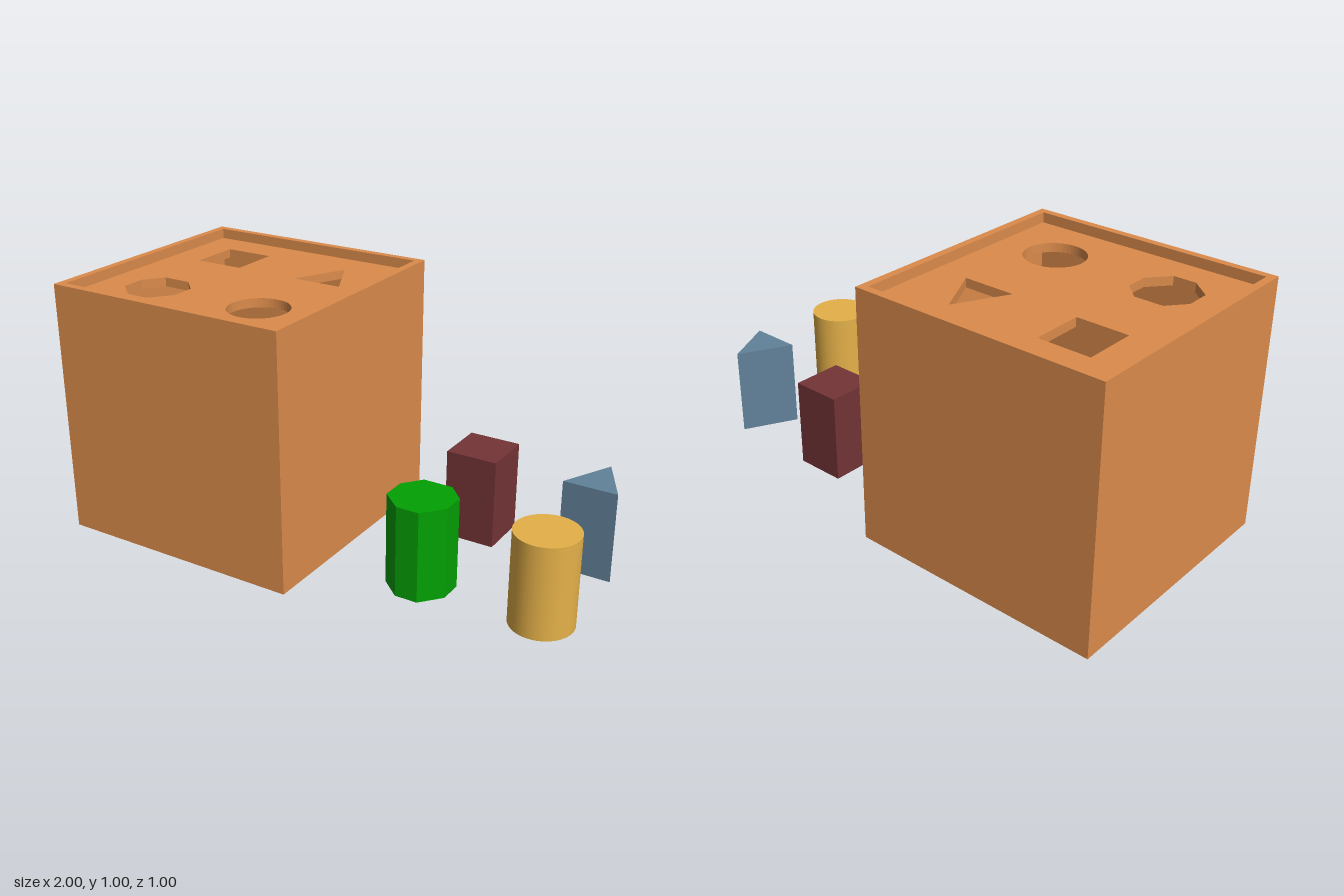
import * as THREE from 'three';

// Outlines are [x, z] points around each shape's own centre, clockwise seen from above
const SQUARE = [[-0.101, -0.101], [0.101, -0.101], [0.101, 0.101], [-0.101, 0.101]];
const TRIANGLE = [[0, -0.102], [0.103, 0.102], [-0.103, 0.102]];
const OCTAGON = [[-0.06, -0.117], [0.053, -0.117], [0.116, -0.053], [0.116, 0.038],
  [0.048, 0.118], [-0.04, 0.118], [-0.118, 0.05], [-0.118, -0.045]];
const RADIUS = 0.117;
const CIRCLE = Array.from({ length: 48 }, (_, i) => {
  const a = (i / 48) * Math.PI * 2;
  return [RADIUS * Math.cos(a), RADIUS * Math.sin(a)];
});

const points = (outline, cx, cz) => outline.map(([x, z]) => new THREE.Vector2(x + cx, -(z + cz)));
const rect = (h) => [[-h, -h], [h, -h], [h, h], [-h, h]];

// Upright prism from a plan outline, with optional hole outlines;
// the outer outline runs counter-clockwise and the holes clockwise
function prism(outline, holes, height) {
  const shape = new THREE.Shape([...outline].reverse());
  shape.holes = holes.map((h) => new THREE.Path(h));
  const geo = new THREE.ExtrudeGeometry(shape, { depth: height, bevelEnabled: false });
  return geo.rotateX(-Math.PI / 2);
}

export function createModel() {
  const group = new THREE.Group();
  const mat = (name, color) => {
    const m = new THREE.MeshStandardMaterial({ color });
    m.name = name;
    return m;
  };
  const wood = mat('brown wood', 0xdc8c4c);
  const red = mat('dark red', 0x743436);
  const blue = mat('slate blue', 0x628299);
  const green = mat('green', 0x02a002);
  const gold = mat('gold', 0xe5b149);

  const add = (parent, name, geo, material, y) => {
    const mesh = new THREE.Mesh(geo, material);
    mesh.name = name;
    mesh.position.y = y;
    parent.add(mesh);
    return mesh;
  };

  // Each sorting shape: position of its hole in the lid and of its loose block
  const sorts = [
    { name: 'squareBlock', outline: SQUARE, z: -0.239, hole: -0.735, block: 0.414, material: red },
    { name: 'triangleBlock', outline: TRIANGLE, z: -0.235, hole: -0.266, block: 0.884, material: blue },
    { name: 'octagonBlock', outline: OCTAGON, z: 0.235, hole: -0.735, block: 0.416, material: green },
    { name: 'roundBlock', outline: CIRCLE, z: 0.235, hole: -0.266, block: 0.883, material: gold },
  ];

  // Hollow box: four walls, floor and a lid sunk below the rim
  const box = new THREE.Group();
  box.name = 'sortingBox';
  group.add(box);
  const inner = points(rect(0.47), -0.5, 0);
  add(box, 'walls', prism(points(rect(0.5), -0.5, 0), [inner], 1), wood, 0);
  add(box, 'floor', prism(inner, [], 0.03), wood, 0);
  const holes = sorts.map((s) => points(s.outline, s.hole, s.z));
  add(box, 'lid', prism(inner, holes, 0.035), wood, 0.925);

  // Loose blocks beside the box
  const HEIGHT = 0.352;
  const BASE = 0.042;
  for (const s of sorts) {
    if (s.outline === CIRCLE) {
      const geo = new THREE.CylinderGeometry(RADIUS, RADIUS, HEIGHT, 48);
      add(group, s.name, geo, s.material, BASE + HEIGHT / 2).position.set(s.block, BASE + HEIGHT / 2, s.z);
    } else {
      add(group, s.name, prism(points(s.outline, s.block, s.z), [], HEIGHT), s.material, BASE);
    }
  }
  return group;
}
